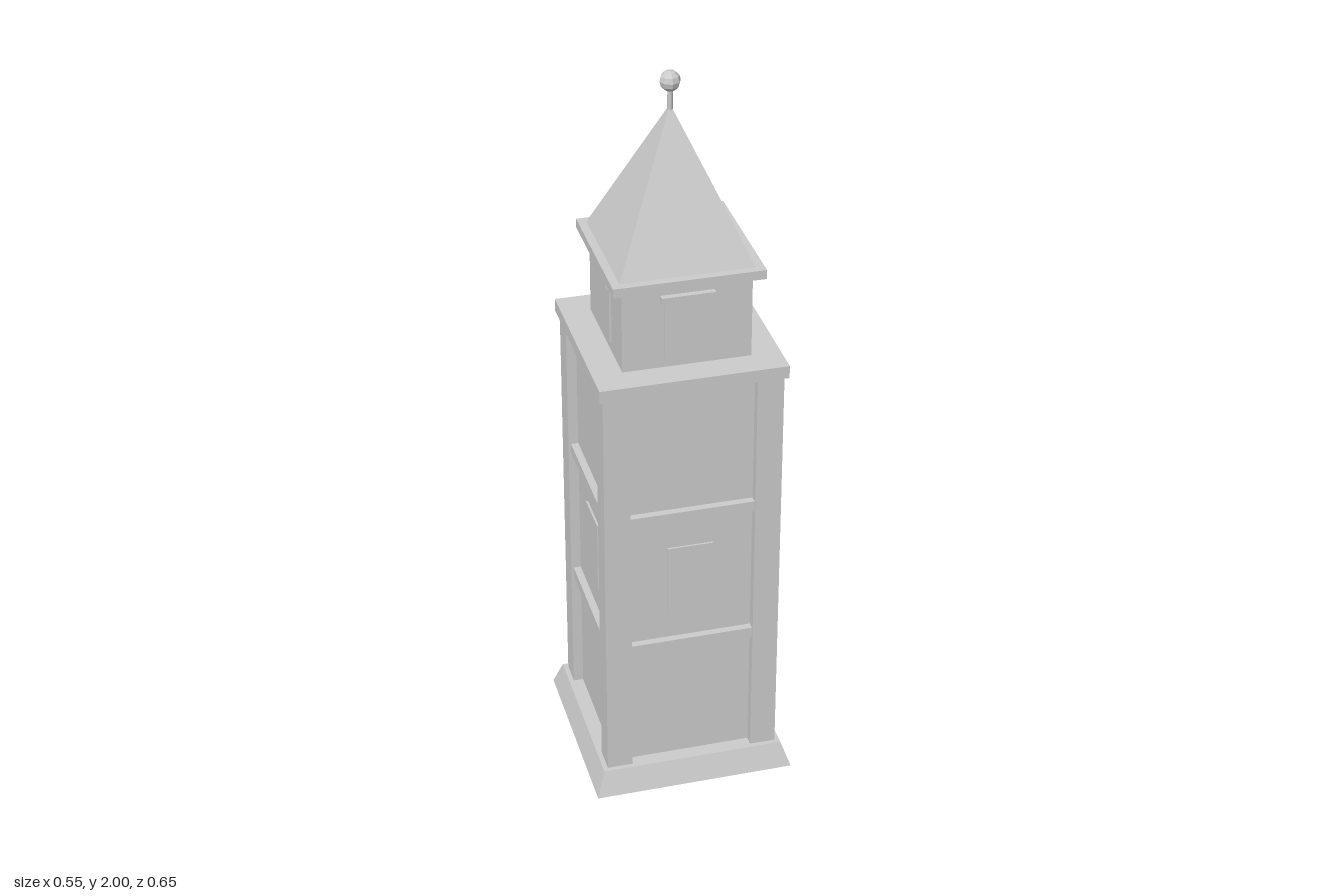
import * as THREE from 'three';

export function createModel() {
  const model = new THREE.Group();
  model.name = 'clockTower';
  const stone = new THREE.MeshStandardMaterial({ color: 0xcccccc });
  stone.name = 'pale grey';

  // The tower group has its axis at x = z = 0 and its clock on the -z side
  const tower = new THREE.Group();
  tower.name = 'tower';
  tower.position.z = 0.047;
  model.add(tower);

  const add = (parent, name, geometry, x = 0, y = 0, z = 0) => {
    const mesh = new THREE.Mesh(geometry, stone);
    mesh.name = name;
    mesh.position.set(x, y, z);
    parent.add(mesh);
    return mesh;
  };
  // Box given by its centre in plan and its bottom and top heights
  const slab = (parent, name, w, d, y0, y1, x = 0, z = 0) =>
    add(parent, name, new THREE.BoxGeometry(w, y1 - y0, d), x, (y0 + y1) / 2, z);
  // Four-sided frustum with flat faces, given by half widths
  const frustum = (top, bottom, h) => {
    const g = new THREE.CylinderGeometry(top * Math.SQRT2, bottom * Math.SQRT2, h, 4);
    g.rotateY(Math.PI / 4);
    const flat = g.toNonIndexed();
    flat.computeVertexNormals();
    return flat;
  };
  const disc = (r, depth, sides) =>
    new THREE.CylinderGeometry(r, r, depth, sides).rotateX(Math.PI / 2);

  // Plinth, walls, corner pillars and cornice
  add(tower, 'plinth', frustum(0.25, 0.274, 0.07), 0, 0.035, 0);
  slab(tower, 'walls', 0.42, 0.42, 0.07, 1.235);
  for (const sx of [-1, 1]) for (const sz of [-1, 1])
    slab(tower, 'cornerPillar', 0.07, 0.07, 0.07, 1.235, sx * 0.202, sz * 0.202);
  slab(tower, 'cornice', 0.494, 0.494, 1.235, 1.27);

  // Belfry, roof and finial
  slab(tower, 'belfry', 0.338, 0.338, 1.27, 1.5);
  slab(tower, 'eaves', 0.394, 0.394, 1.5, 1.525);
  add(tower, 'roof', frustum(0.0005, 0.175, 0.385), 0, 1.7175, 0);
  add(tower, 'finialRod', new THREE.CylinderGeometry(0.007, 0.007, 0.07, 8), 0, 1.93, 0);
  const ball = new THREE.SphereGeometry(0.027, 8, 6).toNonIndexed();
  ball.computeVertexNormals();
  add(tower, 'finialBall', ball, 0, 1.973, 0);

  // Bands and windows repeated on all four sides
  for (let i = 0; i < 4; i++) {
    const side = new THREE.Group();
    side.name = 'side';
    side.rotation.y = i * Math.PI / 2;
    tower.add(side);
    for (const y of [0.43, 0.835])
      slab(side, 'band', 0.334, 0.026, y, y + 0.03, 0, 0.217);
    slab(side, 'middleWindow', 0.124, 0.009, 0.54, 0.745, 0, 0.211);
    slab(side, 'belfryWindow', 0.12, 0.009, 1.295, 1.455, 0, 0.17);
    slab(side, 'belfryLintel', 0.14, 0.02, 1.455, 1.475, 0, 0.175);
  }

  // Clock side: local +z points outwards, wall at z = 0.21
  const face = new THREE.Group();
  face.name = 'clockSide';
  face.rotation.y = Math.PI;
  tower.add(face);

  const clock = new THREE.Group();
  clock.name = 'clock';
  clock.position.set(0, 1.04, 0);
  face.add(clock);
  add(clock, 'clockFace', disc(0.15, 0.016, 32), 0, 0, 0.216);
  const ring = new THREE.Shape().absarc(0, 0, 0.163, 0, Math.PI * 2, false);
  ring.holes.push(new THREE.Path().absarc(0, 0, 0.14, 0, Math.PI * 2, true));
  add(clock, 'clockRim',
    new THREE.ExtrudeGeometry(ring, { depth: 0.026, bevelEnabled: false, curveSegments: 32 }), 0, 0, 0.208);
  for (let i = 0; i < 12; i++) {
    const a = i * Math.PI / 6, s = i % 3 ? 0.011 : 0.021;
    add(clock, 'hourMark', new THREE.BoxGeometry(s, s, 0.008),
      Math.sin(a) * 0.117, Math.cos(a) * 0.117, 0.227);
  }
  const hand = (name, hour, length, width, z) => {
    const g = new THREE.BoxGeometry(width, length, 0.006).translate(0, length / 2 - 0.01, 0);
    add(clock, name, g, 0, 0, z).rotation.z = -hour * Math.PI / 6;
  };
  hand('minuteHand', 12, 0.12, 0.01, 0.229);
  hand('hourHand', 8, 0.08, 0.015, 0.234);
  add(clock, 'handHub', disc(0.013, 0.02, 12), 0, 0, 0.232);

  // Pendulum
  slab(face, 'pendulumRod', 0.018, 0.012, 0.57, 0.89, 0, 0.243);
  add(face, 'pendulumBob', disc(0.053, 0.018, 24), 0, 0.54, 0.246);

  // Window trim behind the pendulum
  slab(face, 'windowLintel', 0.18, 0.03, 0.765, 0.793, 0, 0.218);
  slab(face, 'windowBar', 0.124, 0.008, 0.635, 0.645, 0, 0.218);
  slab(face, 'windowMullion', 0.01, 0.008, 0.54, 0.745, 0, 0.218);

  // Door, hood and lanterns
  slab(face, 'door', 0.15, 0.012, 0.07, 0.31, 0, 0.214);
  slab(face, 'doorHood', 0.21, 0.026, 0.32, 0.342, 0, 0.22);
  add(face, 'doorKnob', new THREE.SphereGeometry(0.008, 8, 6), -0.056, 0.175, 0.224);
  for (const s of [-1, 1]) {
    slab(face, 'lanternBracket', 0.009, 0.044, 0.32, 0.33, s * 0.131, 0.23);
    slab(face, 'lanternHook', 0.009, 0.009, 0.313, 0.322, s * 0.131, 0.248);
    slab(face, 'lanternCap', 0.043, 0.043, 0.305, 0.315, s * 0.131, 0.2525);
    slab(face, 'lanternBody', 0.034, 0.034, 0.255, 0.305, s * 0.131, 0.2525);
  }

  // Small block in front of the door
  slab(model, 'doorstepBlock', 0.01, 0.01, 0.045, 0.055, 0, -0.283);

  // Books stacked by the plinth: two covers around inset pages, and a spine
  const book = (x, y, z, w, d, h, angle) => {
    const g = new THREE.Group();
    g.name = 'book';
    g.position.set(x, y, z);
    g.rotation.y = angle;
    model.add(g);
    slab(g, 'lowerCover', w, d, 0, 0.006);
    slab(g, 'upperCover', w, d, h - 0.006, h);
    slab(g, 'pages', w - 0.016, d - 0.016, 0.006, h - 0.006);
    slab(g, 'spine', w, 0.006, 0.006, h - 0.006, 0, d / 2 - 0.003);
  };
  book(0.166, 0.003, -0.248, 0.154, 0.114, 0.039, 0.295);
  book(0.168, 0.042, -0.238, 0.129, 0.108, 0.033, -0.204);

  return model;
}
